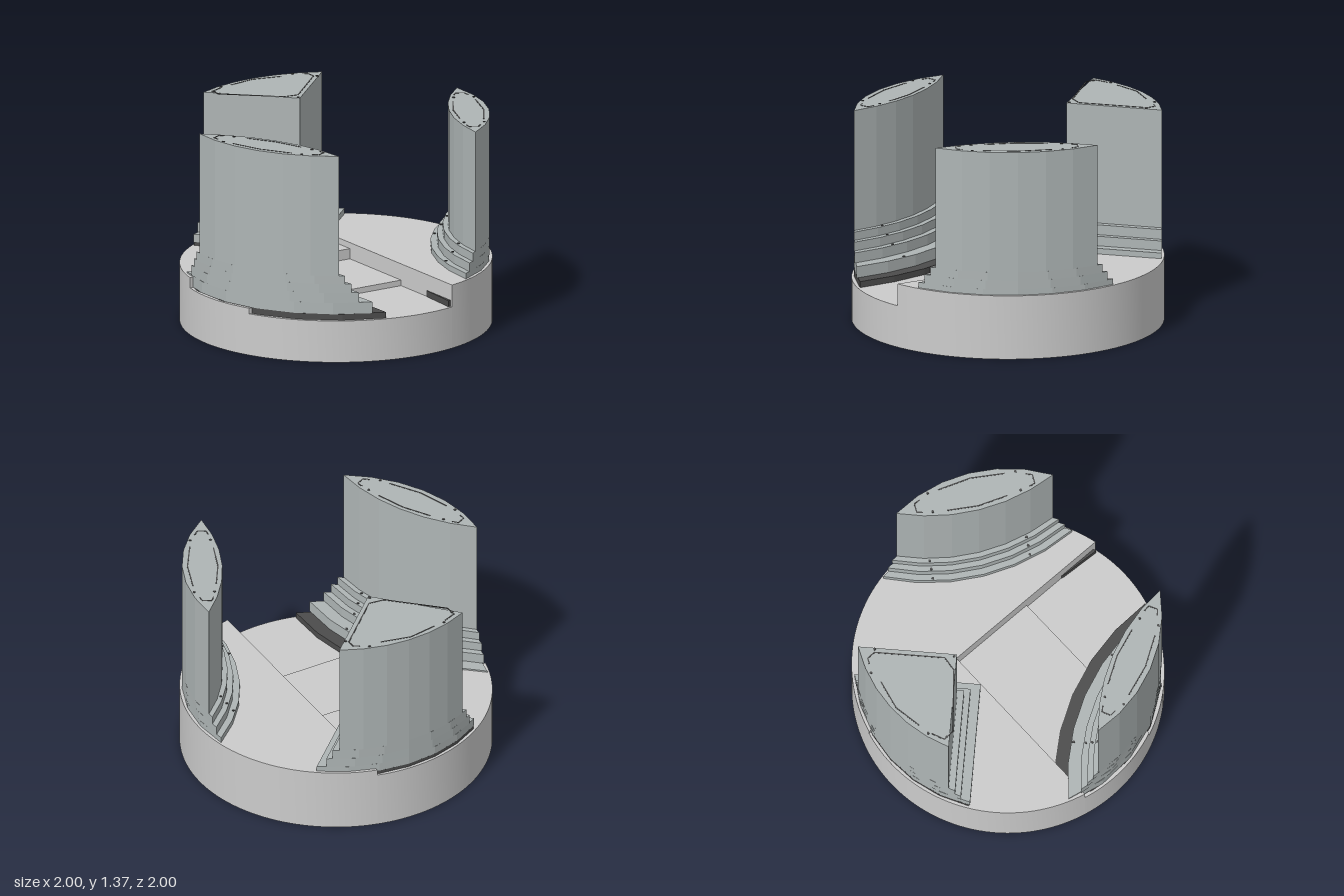
import * as THREE from 'three';
import { toCreasedNormals } from 'three/addons/utils/BufferGeometryUtils.js';

const DEG = Math.PI / 180;
const stoneMat = new THREE.MeshStandardMaterial({ color: 0xcccccc });
const pillarMat = new THREE.MeshStandardMaterial({ color: 0xaeb5b5, flatShading: true });
const darkMat = new THREE.MeshStandardMaterial({ color: 0x4c4c4c, flatShading: true });

const RIM = 0.985;   // outer radius shared by all pillars
const TOP = 1.365;   // pillar height

// Upright prism over a plan outline of [x, z] points
function prism(name, points, y0, y1, material) {
  const shape = new THREE.Shape(points.map(([x, z]) => new THREE.Vector2(x, -z)));
  let geo = new THREE.ExtrudeGeometry(shape, { depth: y1 - y0, bevelEnabled: false });
  geo.rotateX(-Math.PI / 2).translate(0, y0, 0);
  if (!material.flatShading) geo = toCreasedNormals(geo, 0.3);
  const mesh = new THREE.Mesh(geo, material);
  mesh.name = name;
  return mesh;
}

// Points on a circle in plan, from angle a to angle b (radians)
function arc(cx, r, a, b, n) {
  return Array.from({ length: n + 1 }, (_, i) => {
    const t = a + (b - a) * i / n;
    return [cx + r * Math.cos(t), r * Math.sin(t)];
  });
}

// Thin dark inlay line along a polyline of [x, z] points
function inlay(group, points) {
  for (let i = 1; i < points.length; i++) {
    const [ax, az] = points[i - 1], [bx, bz] = points[i];
    const bar = new THREE.Mesh(new THREE.BoxGeometry(Math.hypot(bx - ax, bz - az), 0.004, 0.008), darkMat);
    bar.position.set((ax + bx) / 2, TOP, (az + bz) / 2);
    bar.rotation.y = -Math.atan2(bz - az, bx - ax);
    bar.name = 'topInlay';
    group.add(bar);
  }
}

function bolt(group, x, y, z) {
  const mesh = new THREE.Mesh(new THREE.CylinderGeometry(0.009, 0.009, 0.008, 8), darkMat);
  mesh.position.set(x, y, z);
  mesh.name = 'bolt';
  group.add(mesh);
}

// Disc split into four floors of different heights
function createBase() {
  const base = new THREE.Group();
  base.name = 'base';
  const innerBack = [0.17, -0.28], innerFront = [0.36, 0.28];
  const floors = [
    ['highFloor', -94.3, 57.1, [], 0.42],
    ['backFloor', 173.7, 265.7, [innerBack], 0.38],
    ['middleFloor', 138.7, 173.7, [innerBack, innerFront], 0.312],
    ['frontFloor', 57.1, 138.7, [innerFront], 0.275],
  ];
  for (const [name, a, b, inner, h] of floors) {
    const rim = arc(0, 1, a * DEG, b * DEG, Math.round((b - a) / 2.5));
    base.add(prism(name, [...rim, ...inner], 0, h, stoneMat));
  }
  return base;
}

// Lens plan: bulging face towards the centre, disc rim on the outside
const LENS_CENTRE = 1.997;
function lens(r) {
  const a = (RIM ** 2 + LENS_CENTRE ** 2 - r * r) / (2 * LENS_CENTRE);
  const h = Math.sqrt(RIM ** 2 - a * a);
  const outer = Math.atan2(h, a), inner = Math.atan2(h, LENS_CENTRE - a);
  return [
    ...arc(0, RIM, -outer, outer, 6),
    ...arc(LENS_CENTRE, r, Math.PI - inner, Math.PI + inner, 6).slice(1, -1),
  ];
}

function createLensPillar(name, angle) {
  const g = new THREE.Group();
  g.name = name;
  g.add(prism('darkFooting', lens(1.552), 0.25, 0.315, darkMat));
  const steps = [[1.465, 0.315, 0.39], [1.382, 0.39, 0.457], [1.34, 0.457, 0.515], [1.303, 0.515, 0.57]];
  for (const [r, y0, y1] of steps) {
    g.add(prism('step', lens(r), y0, y1, pillarMat));
    // one bolt on each tread, either side
    for (const h of [-0.32, 0.32]) bolt(g, LENS_CENTRE + 0.018 - Math.sqrt(r * r - h * h), y1, h);
  }
  g.add(prism('shaft', lens(1.27), 0.57, TOP, pillarMat));

  // inlay on the top face
  inlay(g, [[0.775, -0.2], [0.755, 0], [0.775, 0.2]]);
  inlay(g, [[0.925, -0.22], [0.95, 0], [0.925, 0.22]]);
  for (const s of [-1, 1]) {
    inlay(g, [[0.8, 0.35 * s], [0.812, 0.39 * s], [0.872, 0.39 * s], [0.888, 0.35 * s]]);
    bolt(g, 0.79, TOP, 0.29 * s);
    bolt(g, 0.92, TOP, 0.29 * s);
  }
  g.rotation.y = -angle * DEG;
  return g;
}

// Wedge plan: square corner towards the centre, grown by an offset, closed by the rim
function wedge(offset) {
  const c = [-0.13 + 0.414 * offset, -0.41 + 1.352 * offset];
  const hit = ([dx, dz]) => {
    const b = c[0] * dx + c[1] * dz;
    const t = -b + Math.sqrt(b * b - c[0] ** 2 - c[1] ** 2 + RIM ** 2);
    return Math.atan2(c[1] + dz * t, c[0] + dx * t);
  };
  return [c, ...arc(0, RIM, hit([-0.883, -0.469]), hit([0.469, -0.883]), 6)];
}

function createWedgePillar() {
  const g = new THREE.Group();
  g.name = 'backPillar';
  g.add(prism('darkFooting', wedge(0.13), 0.3, 0.402, darkMat));
  const steps = [[0.14, 0.402, 0.457], [0.08, 0.457, 0.52], [0.042, 0.52, 0.585]];
  for (const [offset, y0, y1] of steps) g.add(prism('step', wedge(offset), y0, y1, pillarMat));
  g.add(prism('shaft', wedge(0), 0.585, TOP, pillarMat));

  // inlay and bolts on the top face
  inlay(g, [[-0.6, -0.64], [-0.22, -0.47], [-0.12, -0.49], [0.09, -0.89], [0.07, -0.945], [0.03, -0.95]]);
  inlay(g, [[-0.11, -0.93], [-0.31, -0.91], [-0.48, -0.82]]);
  inlay(g, [[-0.56, -0.77], [-0.63, -0.71], [-0.6, -0.64]]);
  for (const [x, z] of [[-0.135, -0.43], [-0.03, -0.965], [-0.55, -0.79], [0.11, -0.88], [-0.62, -0.69]]) bolt(g, x, TOP, z);
  return g;
}

export function createModel() {
  const model = new THREE.Group();
  model.name = 'steppedPillarPlatform';
  model.add(
    createBase(),
    createLensPillar('leftPillar', 8.4),
    createLensPillar('rightPillar', 135.6),
    createWedgePillar(),
  );
  return model;
}
